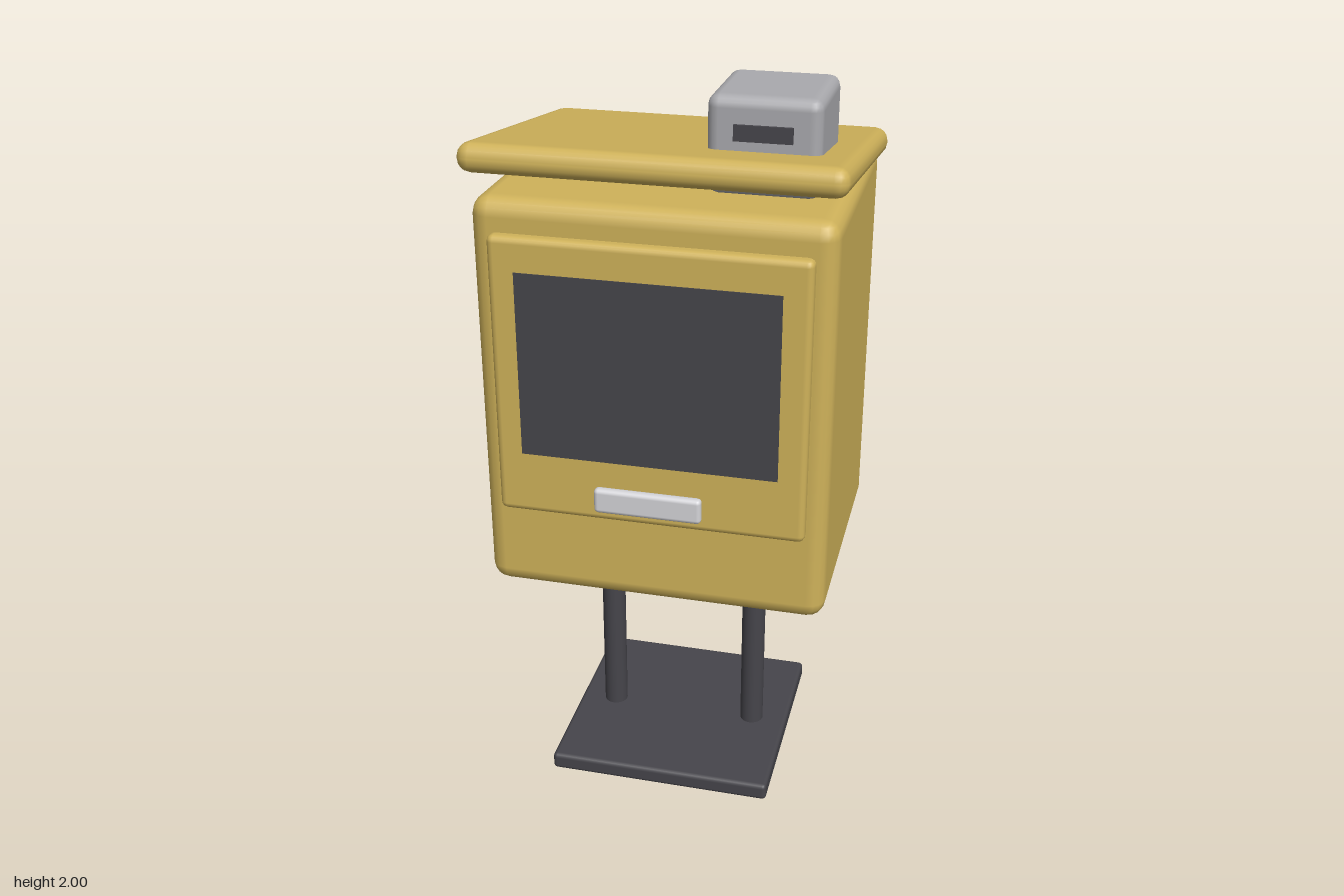
import * as THREE from 'three';
import { RoundedBoxGeometry } from 'three/addons/geometries/RoundedBoxGeometry.js';

const paint = (name, color) => {
  const m = new THREE.MeshStandardMaterial({ color });
  m.name = name;
  return m;
};

export function createModel() {
  const model = new THREE.Group();
  model.name = 'postBox';

  const mustard = paint('mustard', 0xcfb25a);
  const charcoal = paint('charcoal', 0x46454b);
  const grey = paint('grey', 0xaaaaae);
  const silver = paint('silver', 0xd4d4d8);

  const add = (name, geometry, material, x, y, z) => {
    const mesh = new THREE.Mesh(geometry, material);
    mesh.name = name;
    mesh.position.set(x, y, z);
    model.add(mesh);
    return mesh;
  };
  const rounded = (w, h, d, r) => new RoundedBoxGeometry(w, h, d, 2, r);

  // Stand: base plate and two posts
  add('basePlate', rounded(0.636, 0.05, 0.636, 0.012), charcoal, 0, 0.025, 0.013);
  for (const side of [-1, 1]) {
    add(side < 0 ? 'rightPost' : 'leftPost',
      new THREE.CylinderGeometry(0.034, 0.034, 0.63, 20), charcoal, side * 0.213, 0.355, 0.013);
  }

  // Cabinet
  add('body', rounded(0.924, 1.1, 0.746, 0.048), mustard, 0, 1.199, -0.005);

  // Door with window panel and handle
  add('door', rounded(0.818, 0.764, 0.06, 0.018), mustard, 0, 1.282, 0.367);
  add('window', new THREE.BoxGeometry(0.676, 0.5, 0.008), charcoal, -0.001, 1.324, 0.395);
  add('handle', rounded(0.286, 0.07, 0.028, 0.012), silver, 0, 0.968, 0.407);

  // Roof slab, sloping down to the back
  const roof = add('roof', rounded(0.962, 0.076, 0.818, 0.036), mustard, 0, 1.796, -0.014);
  roof.rotation.x = -0.139;

  // Chimney box passing through the roof, with a vent slot in front
  add('chimney', rounded(0.284, 0.247, 0.302, 0.03), grey, 0.248, 1.8765, 0.074);
  add('ventSlot', new THREE.BoxGeometry(0.146, 0.04, 0.009), charcoal, 0.248, 1.913, 0.2285);

  return model;
}
